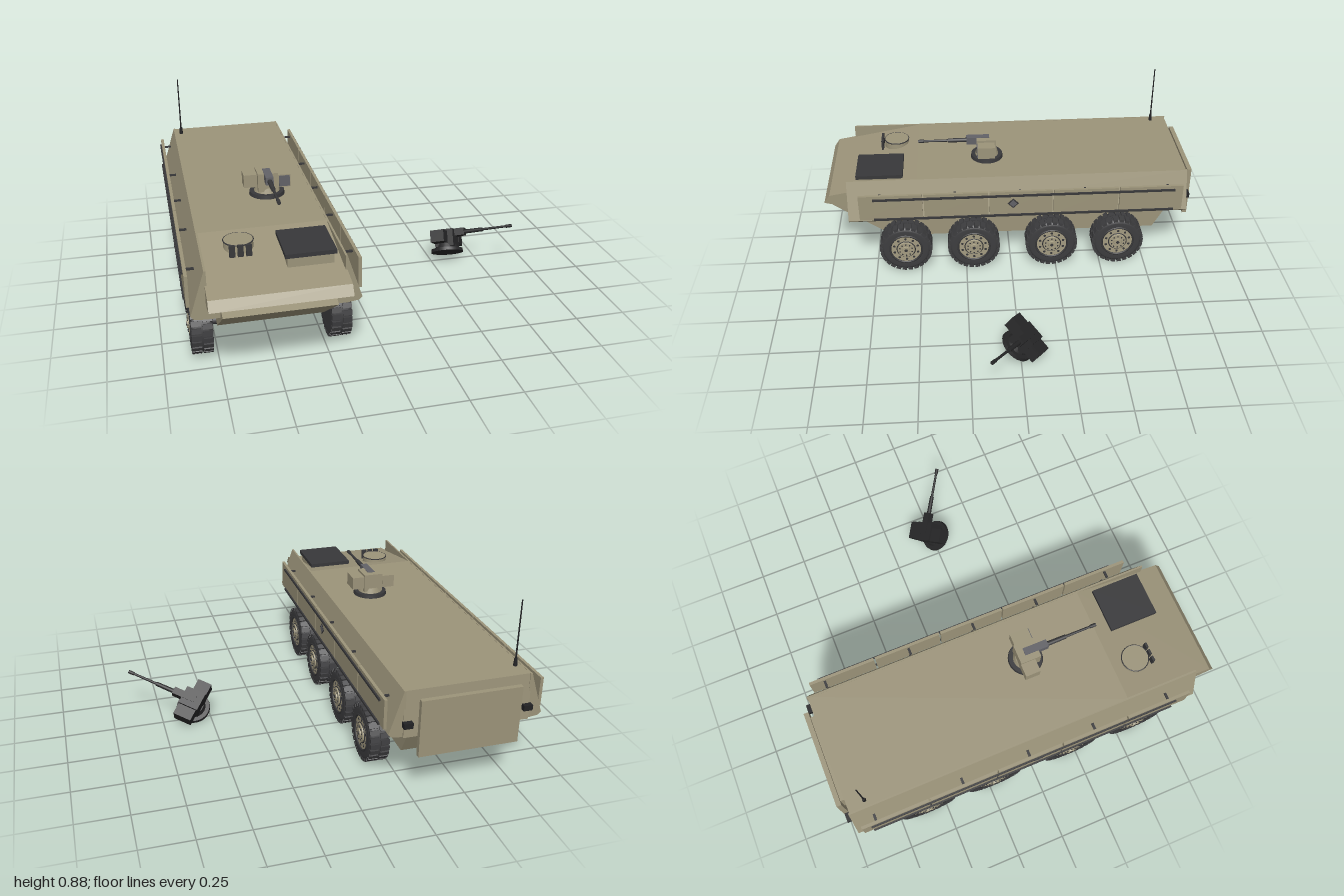
import * as THREE from 'three';

const mat = (name, color) => {
  const m = new THREE.MeshStandardMaterial({ color });
  m.name = name;
  return m;
};

export function createModel() {
  const M = {
    hull: mat('hull tan', 0x9c947a),
    hub: mat('hub tan', 0xa39b80),
    tyre: mat('tyre rubber', 0x3d3d3f),
    dark: mat('dark metal', 0x38383a),
    gun: mat('gun grey', 0x626267),
    glass: mat('lamp black', 0x222224),
    char: mat('charred metal', 0x262627),
  };
  const add = (parent, name, geo, m, x = 0, y = 0, z = 0) => {
    const mesh = new THREE.Mesh(geo, m);
    mesh.name = name;
    mesh.position.set(x, y, z);
    parent.add(mesh);
    return mesh;
  };
  // box given by its limits
  const box = (parent, name, m, x0, x1, y0, y1, z0, z1) =>
    add(parent, name, new THREE.BoxGeometry(x1 - x0, y1 - y0, z1 - z0), m, (x0 + x1) / 2, (y0 + y1) / 2, (z0 + z1) / 2);
  const shape = pts => new THREE.Shape(pts.map(p => new THREE.Vector2(...p)));
  // side profile of [z, y] points, extruded across x and centred
  const acrossX = (pts, w) =>
    new THREE.ExtrudeGeometry(shape(pts), { depth: w, bevelEnabled: false }).rotateY(-Math.PI / 2).translate(w / 2, 0, 0);
  const cyl = (r0, r1, h, n = 24) => new THREE.CylinderGeometry(r0, r1, h, n);
  const cylX = (r0, r1, h, n = 24) => cyl(r0, r1, h, n).rotateZ(-Math.PI / 2);
  const cylZ = (r0, r1, h, n = 16) => cyl(r0, r1, h, n).rotateX(Math.PI / 2);

  const root = new THREE.Group();
  const vehicle = new THREE.Group();
  vehicle.name = 'vehicle';
  vehicle.position.x = -0.5;
  root.add(vehicle);

  // upper hull with wedge nose, narrow lower hull
  add(vehicle, 'upperHull', acrossX([[-0.965, 0.33], [0.87, 0.33], [0.87, 0.4], [1, 0.433], [0.97, 0.476],
    [0.5, 0.56], [-0.952, 0.56]], 0.612), M.hull);
  add(vehicle, 'lowerHull', acrossX([[-0.81, 0.16], [0.65, 0.16], [0.965, 0.38], [0.86, 0.4], [-0.906, 0.335]], 0.495), M.hull);

  // sloped sponsons, armour panels, rails and side marks
  const panelEnds = [0.815, 0.47, 0.12, -0.225, -0.58, -0.93];
  for (const s of [-1, 1]) {
    const side = new THREE.Group();
    side.name = s > 0 ? 'leftSide' : 'rightSide';
    vehicle.add(side);
    const pts = [[0.298, 0.33], [0.36, 0.338], [0.374, 0.352], [0.307, 0.561], [0.298, 0.561]].map(([x, y]) => [s * x, y]);
    add(side, 'sponson', new THREE.ExtrudeGeometry(shape(pts), { depth: 1.83, bevelEnabled: false }), M.hull, 0, 0, -0.957);
    for (let i = 0; i < 5; i++) {
      const z = (panelEnds[i] + panelEnds[i + 1]) / 2, len = panelEnds[i] - panelEnds[i + 1] - 0.008;
      add(side, 'armourPanel', new THREE.BoxGeometry(0.015, 0.148, len), M.hull, s * 0.379, 0.438, z);
    }
    for (const y of [0.49, 0.368]) {
      add(side, 'rail', new THREE.BoxGeometry(0.008, 0.011, 1.615), M.dark, s * 0.391, y, -0.073);
      for (const z of [0.7, 0.3, -0.05, -0.4, -0.85])
        add(side, 'panelBracket', new THREE.BoxGeometry(0.05, 0.008, 0.012), M.dark, s * 0.361, y, z);
    }
    for (const [r, m, x] of [[0.03, M.dark, 0.387], [0.021, M.gun, 0.389]])
      add(side, 'diamondPlate', cylX(r, r, 0.004, 4), m, s * x, 0.44, -0.01);
    // lamps
    box(side, 'tailLamp', M.glass, s * 0.29 - 0.022, s * 0.29 + 0.022, 0.385, 0.412, -0.985, -0.955);
    add(side, 'headLamp', cylZ(0.01, 0.01, 0.03), M.glass, s * 0.277, 0.413, 0.9);
  }

  // rear ramp
  box(vehicle, 'rearRamp', M.hull, -0.243, 0.243, 0.24, 0.525, -1, -0.976);
  box(vehicle, 'rampMount', M.hull, -0.22, 0.22, 0.34, 0.5, -0.978, -0.95);

  // wheels: profile tyre, staggered tread blocks, hub with bolts
  const R = 0.143;
  const tyreProfile = [[0.085, -0.048], [0.118, -0.05], [0.132, -0.044], [0.136, -0.03], [0.136, 0.03],
    [0.132, 0.044], [0.118, 0.05], [0.085, 0.048]].map(p => new THREE.Vector2(...p));
  const tyreGeo = new THREE.LatheGeometry(tyreProfile, 40).rotateZ(-Math.PI / 2);
  const blockGeo = new THREE.BoxGeometry(0.044, 0.016, 0.024);
  const makeWheel = () => {
    const w = new THREE.Group();
    w.name = 'wheel';
    add(w, 'tyre', tyreGeo, M.tyre);
    for (let i = 0; i < 52; i++) {
      const a = (i / 52) * Math.PI * 2, row = i % 2 ? 1 : -1;
      const b = add(w, 'treadBlock', blockGeo, M.tyre, row * 0.026, Math.cos(a) * (R - 0.008), Math.sin(a) * (R - 0.008));
      b.rotation.x = a;
    }
    add(w, 'innerDisc', cylX(0.09, 0.09, 0.02, 32), M.tyre, -0.037);
    add(w, 'rimRing', new THREE.TorusGeometry(0.088, 0.006, 8, 32).rotateY(Math.PI / 2), M.dark, 0.046);
    add(w, 'hubDisc', cylX(0.083, 0.085, 0.05, 32), M.hub, 0.02);
    add(w, 'hubStep', cylX(0.045, 0.05, 0.012), M.hub, 0.048);
    add(w, 'hubGroove', new THREE.TorusGeometry(0.05, 0.003, 6, 24).rotateY(Math.PI / 2), M.dark, 0.046);
    add(w, 'hubCap', cylX(0.02, 0.024, 0.012), M.hub, 0.054);
    add(w, 'capBolt', cylX(0.009, 0.009, 0.006, 8), M.dark, 0.06);
    for (let i = 0; i < 10; i++) {
      const a = (i / 10) * Math.PI * 2;
      add(w, 'rimHole', cylX(0.007, 0.007, 0.004, 8), M.dark, 0.045, Math.cos(a) * 0.067, Math.sin(a) * 0.067);
      add(w, 'hubBolt', cylX(0.004, 0.004, 0.006, 6), M.dark, 0.055, Math.cos(a) * 0.035, Math.sin(a) * 0.035);
    }
    return w;
  };
  for (const z of [0.58, 0.206, -0.225, -0.594]) {
    add(vehicle, 'axle', cylX(0.019, 0.019, 0.56, 16), M.dark, 0, 0.148, z);
    for (const s of [-1, 1]) {
      const w = makeWheel();
      w.position.set(s * 0.32, 0.148, z);
      if (s < 0) w.rotation.y = Math.PI;
      vehicle.add(w);
    }
  }

  // roof fittings: engine cover, driver hatch with periscopes, antenna
  box(vehicle, 'engineCover', M.dark, 0.045, 0.273, 0.551, 0.571, 0.575, 0.825);
  box(vehicle, 'engineCoverBase', M.hull, 0.055, 0.263, 0.49, 0.551, 0.585, 0.815);
  add(vehicle, 'driverHatch', cyl(0.066, 0.068, 0.045, 32), M.hull, -0.13, 0.548, 0.62);
  add(vehicle, 'hatchSeam', new THREE.TorusGeometry(0.067, 0.003, 6, 32).rotateX(Math.PI / 2), M.dark, -0.13, 0.568, 0.62);
  for (const x of [-0.167, -0.13, -0.093]) box(vehicle, 'periscope', M.dark, x - 0.013, x + 0.013, 0.515, 0.578, 0.694, 0.706);
  add(vehicle, 'antennaBase', cyl(0.007, 0.01, 0.04, 12), M.glass, -0.268, 0.578, -0.865);
  add(vehicle, 'antenna', cyl(0.003, 0.004, 0.29, 8), M.glass, -0.268, 0.741, -0.865);

  // remote weapon station, origin at the centre of its base, gun along +z
  const makeTurret = (name, body, ring, metal) => {
    const t = new THREE.Group();
    t.name = name;
    add(t, 'ring', cyl(0.085, 0.088, 0.018, 32), ring, 0, 0.009, 0);
    add(t, 'pedestal', cyl(0.055, 0.065, 0.03, 24), body, 0, 0.03, 0);
    box(t, 'body', body, -0.05, 0.05, 0.028, 0.122, -0.05, 0.055);
    box(t, 'sensorBox', body, -0.115, -0.05, 0.045, 0.11, -0.052, 0.024);
    box(t, 'ammoBox', body, 0.05, 0.112, 0.045, 0.11, -0.042, 0.052);
    box(t, 'sensorWindow', metal, 0.054, 0.107, 0.05, 0.105, 0.052, 0.056);
    box(t, 'gunReceiver', metal, -0.019, 0.019, 0.084, 0.124, -0.015, 0.11);
    add(t, 'barrelJacket', cylZ(0.011, 0.012, 0.11), ring, 0, 0.103, 0.155);
    add(t, 'barrel', cylZ(0.006, 0.007, 0.16), ring, 0, 0.103, 0.28);
    add(t, 'muzzle', cylZ(0.009, 0.009, 0.03), ring, 0, 0.103, 0.357);
    return t;
  };
  const turret = makeTurret('turret', M.hull, M.dark, M.gun);
  turret.position.set(0.08, 0.56, 0.117);
  vehicle.add(turret);

  // burnt turret lying tilted on the ground
  const wreck = makeTurret('wreckedTurret', M.char, M.char, M.char);
  const d = new THREE.Vector3(0.8, 0.29, 0.52).normalize();
  const r = new THREE.Vector3(0.52, 0, -0.8).normalize();
  const level = new THREE.Vector3().crossVectors(d, r);
  if (level.y < 0) level.negate();
  const up = level.multiplyScalar(Math.cos(0.58)).addScaledVector(r, Math.sin(0.58)).normalize();
  wreck.quaternion.setFromRotationMatrix(new THREE.Matrix4().makeBasis(new THREE.Vector3().crossVectors(up, d), up, d));
  wreck.position.set(0.585, 0.057, 0.02);
  root.add(wreck);
  return root;
}
